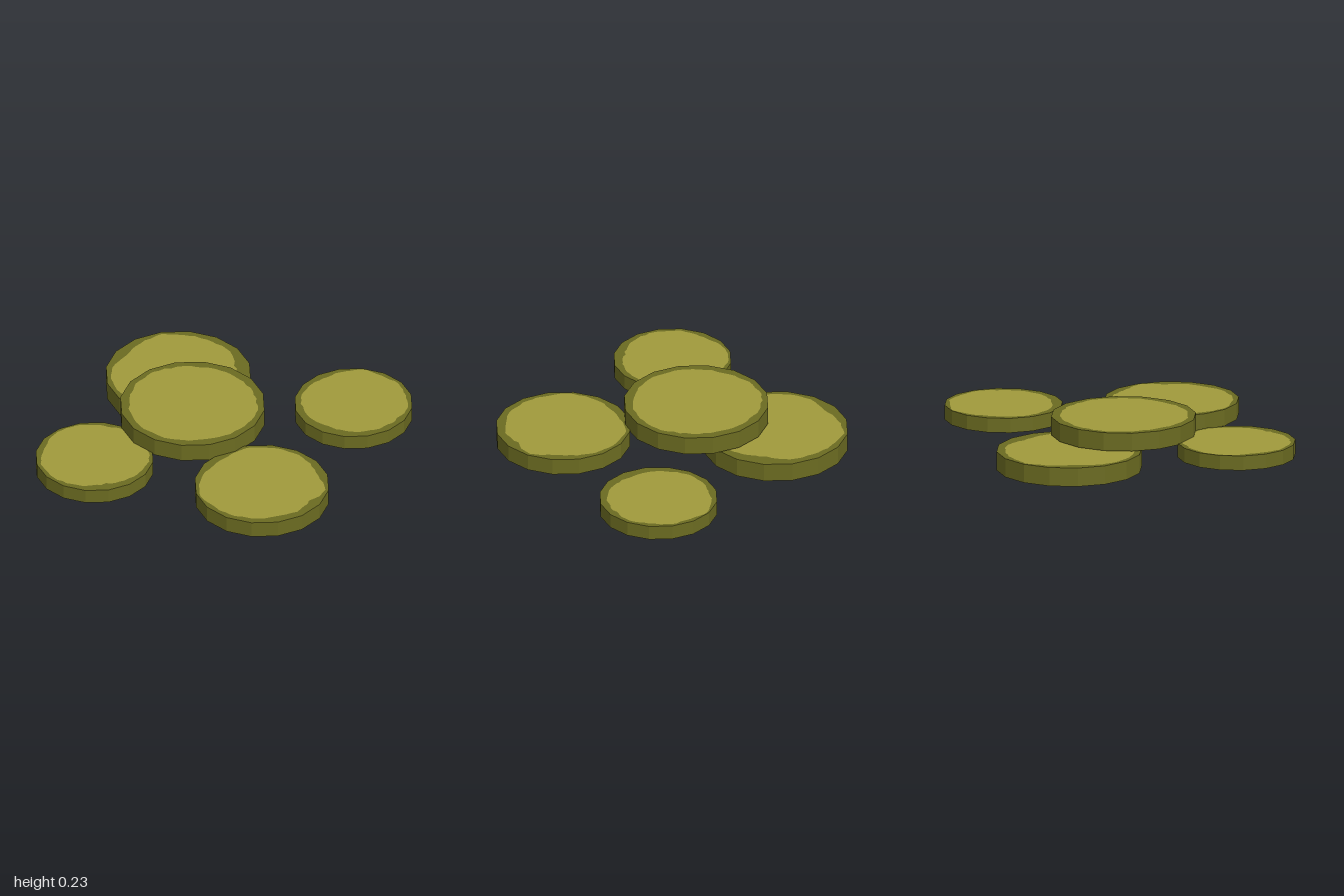
import * as THREE from 'three';

const rimMat = new THREE.MeshStandardMaterial({ color: 0x6b6b21 });
rimMat.name = 'dark olive';
rimMat.flatShading = true;
const faceMat = new THREE.MeshStandardMaterial({ color: 0xa09a3c });
faceMat.name = 'light olive';

const SIDES = 16;

// name, centre x/z, radius, bottom and top height, worn-face outline (radius ratios, from +x towards +z)
const discs = [
  { name: 'centreDisc', x: -0.185, z: -0.005, r: 0.438, y0: 0.123, y1: 0.235,
    edge: [.9, .88, .86, .88, .89, .89, .88, .87, .9, .91, .89, .87, .86, .87, .87, .9] },
  { name: 'backLeftDisc', x: -0.507, z: -0.372, r: 0.44, y0: 0, y1: 0.115,
    edge: [.88, .86, .88, .9, .88, .92, .92, .9, .83, .88, .95, .9, .88, .87, .78, .83] },
  { name: 'backRightDisc', x: 0.56, z: -0.643, r: 0.357, y0: 0.04, y1: 0.13,
    edge: [.87, .87, .86, .84, .8, .84, .86, .9, .88, .86, .9, .97, .9, .93, .9, .93] },
  { name: 'frontRightDisc', x: 0.531, z: 0.37, r: 0.407, y0: 0.033, y1: 0.135,
    edge: [.83, .87, .86, .88, .9, .92, .95, .9, .86, .87, .94, .92, .92, .88, .85, .96] },
  { name: 'frontLeftDisc', x: -0.48, z: 0.643, r: 0.357, y0: 0.04, y1: 0.13,
    edge: [.9, .86, .81, .86, .9, .92, .93, .86, .9, .94, .94, .9, .91, .92, .93, .92] },
];

function seeded(seed) {
  let s = seed;
  return () => (s = (s * 16807) % 2147483647) / 2147483647;
}

// Closed ring of points; dir mirrors it for upward or downward faces
function ring(count, radiusAt, dir) {
  return Array.from({ length: count }, (_, i) => {
    const a = (i / count) * Math.PI * 2;
    const r = radiusAt(i);
    return new THREE.Vector2(Math.cos(a) * r, -dir * Math.sin(a) * r);
  });
}

function makeDisc(d, index) {
  const group = new THREE.Group();
  group.name = d.name;
  const h = d.y1 - d.y0;

  // Side wall
  const wall = new THREE.Mesh(new THREE.CylinderGeometry(d.r, d.r, h, SIDES, 1, true), rimMat);
  wall.name = 'sideWall';
  wall.position.y = h / 2;
  group.add(wall);

  // Ragged outline of the light face
  const rand = seeded(index * 97 + 11);
  const count = 64;
  const ragged = Array.from({ length: count }, (_, i) => {
    const k = Math.floor(i / 4), t = (i % 4) / 4;
    const base = d.edge[k] * (1 - t) + d.edge[(k + 1) % 16] * t;
    return d.r * Math.min(0.97, base + (rand() - 0.5) * 0.03);
  });

  // Top and bottom: dark border around the light face
  for (const dir of [1, -1]) {
    const inner = ring(count, i => ragged[i], dir);
    const border = new THREE.Shape(ring(SIDES, () => d.r, dir));
    border.holes.push(new THREE.Path(inner));
    const parts = [['Border', border, rimMat], ['Face', new THREE.Shape(inner), faceMat]];
    for (const [label, shape, mat] of parts) {
      const geo = new THREE.ShapeGeometry(shape).rotateX(-dir * Math.PI / 2);
      const mesh = new THREE.Mesh(geo, mat);
      mesh.name = (dir > 0 ? 'top' : 'bottom') + label;
      mesh.position.y = dir > 0 ? h : 0;
      group.add(mesh);
    }
  }

  group.position.set(d.x, d.y0, d.z);
  return group;
}

export function createModel() {
  const model = new THREE.Group();
  model.name = 'discPile';
  discs.forEach((d, i) => model.add(makeDisc(d, i)));
  return model;
}
